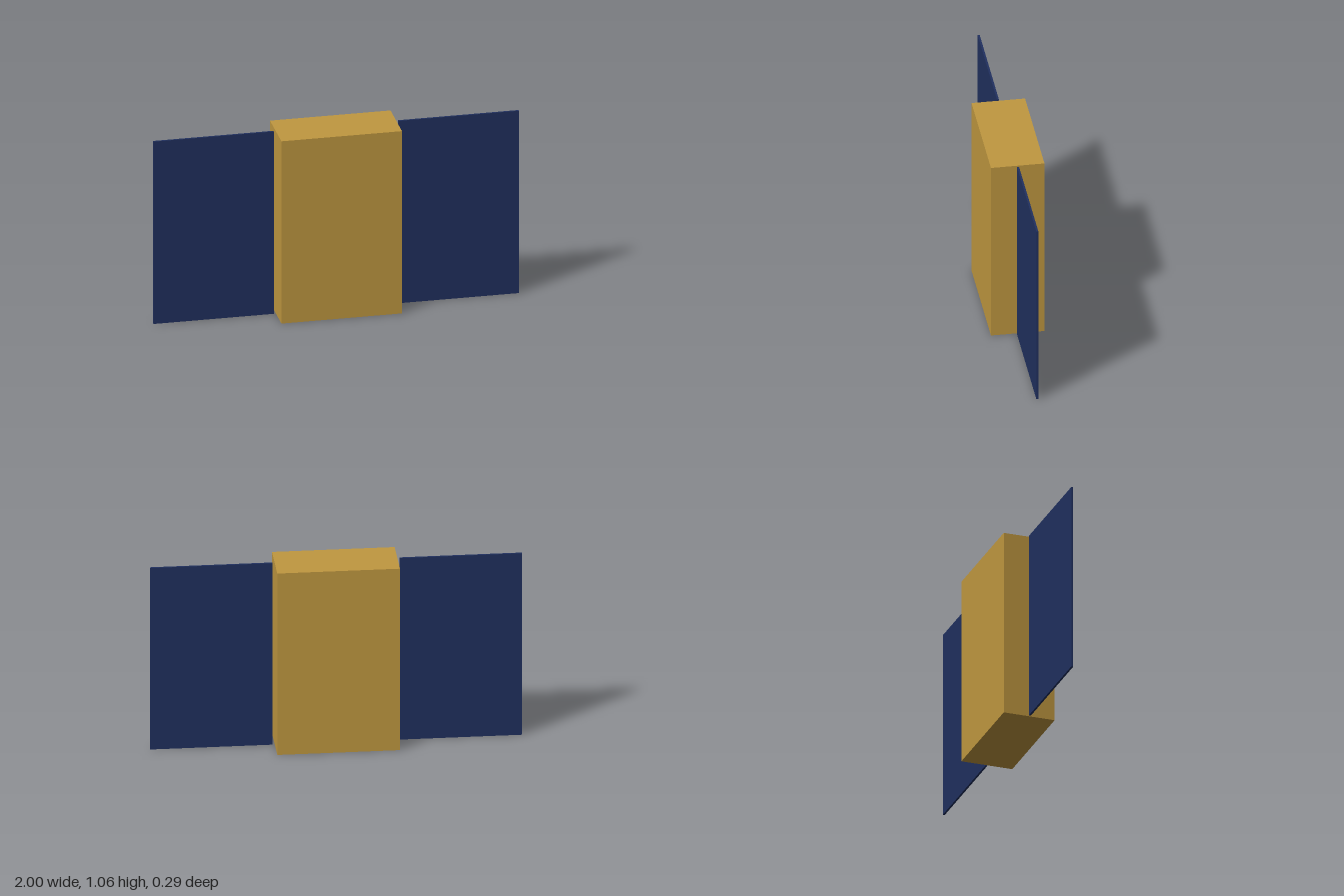
import * as THREE from 'three';

const HEIGHT = 1.06;

export function createModel() {
  const model = new THREE.Group();
  model.name = 'satellite';
  const gold = new THREE.MeshStandardMaterial({ color: 0xc09840 });
  const navy = new THREE.MeshStandardMaterial({ color: 0x20305f });

  const addBox = (name, width, depth, x, material) => {
    const mesh = new THREE.Mesh(new THREE.BoxGeometry(width, HEIGHT, depth), material);
    mesh.name = name;
    mesh.position.set(x, HEIGHT / 2, 0);
    model.add(mesh);
  };

  // Central box body
  addBox('body', 0.66, 0.29, 0, gold);

  // Thin panels, separated from the body by a narrow gap
  const inner = 0.342;
  for (const [name, side] of [['leftPanel', 1], ['rightPanel', -1]]) {
    addBox(name, 1 - inner, 0.011, side * (1 + inner) / 2, navy);
  }

  return model;
}
